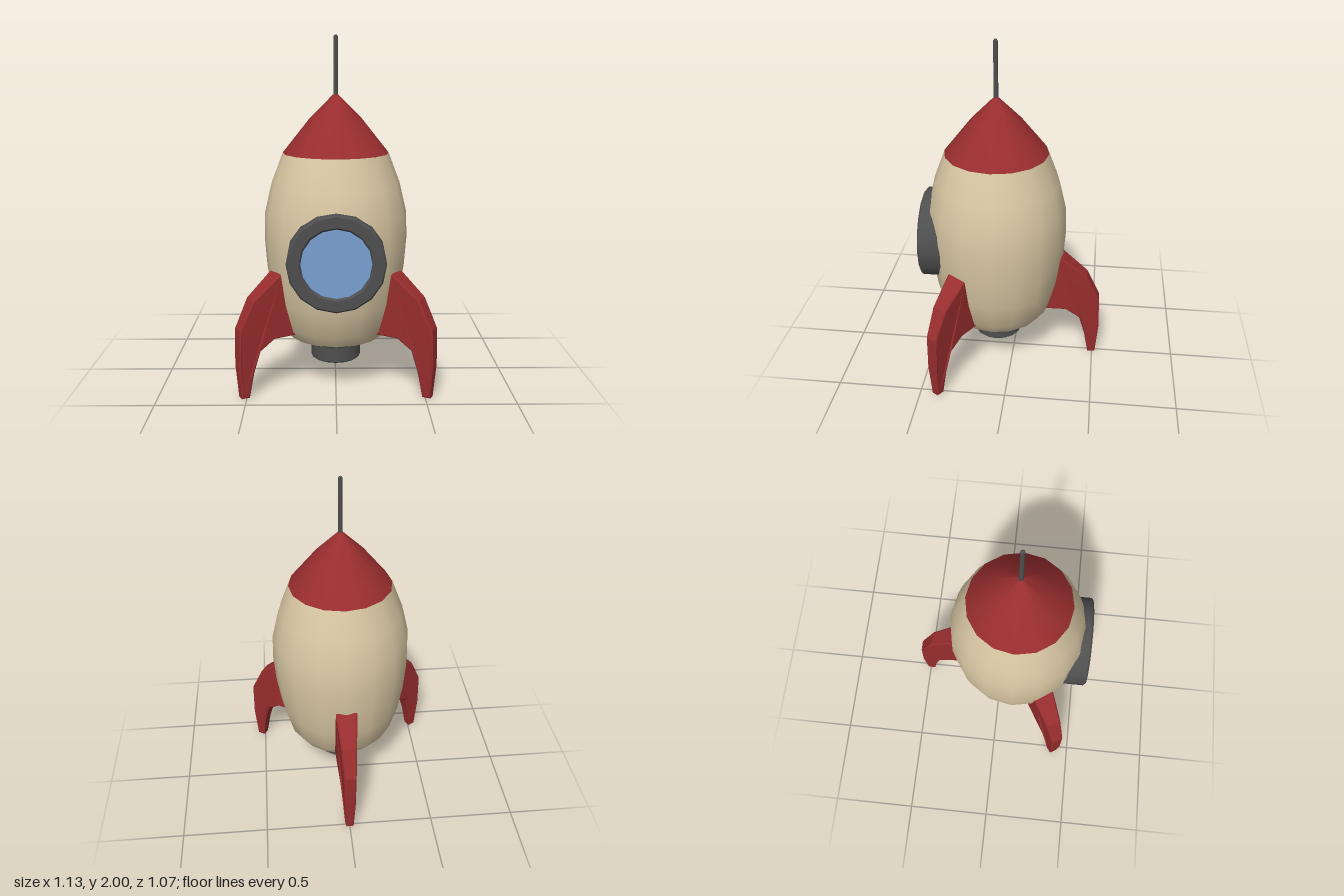
import * as THREE from 'three';
import { toCreasedNormals } from 'three/addons/utils/BufferGeometryUtils.js';

const SIDES = 16;
const material = (name, color) => {
  const m = new THREE.MeshStandardMaterial({ color });
  m.name = name;
  return m;
};

// Turned part from [radius, height] pairs listed bottom to top
function turned(points, sides = SIDES) {
  const geo = new THREE.LatheGeometry(points.map(([r, y]) => new THREE.Vector2(r, y)), sides);
  return toCreasedNormals(geo, 0.6);
}

// Curved leg fin: x is the distance from the rocket axis
function finGeometry() {
  const outline = [
    [0.26, 0.335], [0.425, 0.335], [0.51, 0.275], [0.547, 0.15], [0.572, 0.005], [0.618, 0.005],
    [0.634, 0.2], [0.628, 0.41], [0.548, 0.572], [0.39, 0.705], [0.32, 0.705],
  ];
  const shape = new THREE.Shape(outline.map(([x, y]) => new THREE.Vector2(x, y)));
  const geo = new THREE.ExtrudeGeometry(shape, {
    depth: 1.7, bevelEnabled: true, bevelSegments: 1,
    bevelThickness: 0.15, bevelSize: 0.007, bevelOffset: -0.007,
  });
  geo.translate(0, 0, -0.85);
  // Thinner outward and toward the foot
  const p = geo.attributes.position;
  for (let i = 0; i < p.count; i++) {
    const spread = 0.063 - Math.max(0, p.getX(i) - 0.4) * 0.12;
    const foot = Math.min(1, 0.62 + p.getY(i) * 1.5);
    p.setZ(i, p.getZ(i) * spread * foot);
  }
  geo.computeVertexNormals();
  return toCreasedNormals(geo, 0.3);
}

export function createModel() {
  const cream = material('cream', 0xdac8a4);
  const red = material('red', 0x982d2e);
  const grey = material('dark grey', 0x4f4f4f);
  const blue = material('glass blue', 0x789fd2);

  const rocket = new THREE.Group();
  rocket.name = 'rocket';
  rocket.position.z = 0.1;
  const add = (name, geo, mat) => {
    const mesh = new THREE.Mesh(geo, mat);
    mesh.name = name;
    rocket.add(mesh);
    return mesh;
  };

  // Hull, nose and engine
  add('hull', turned([
    [0.275, 0.29], [0.325, 0.36], [0.37, 0.52], [0.397, 0.69], [0.41, 0.86],
    [0.405, 1.01], [0.365, 1.18], [0.3, 1.35],
  ]), cream);
  add('noseCone', turned([[0.3, 1.35], [0.145, 1.545], [0.015, 1.675], [0, 1.685]]), red);
  add('engineNozzle', turned([
    [0, 0.14], [0.137, 0.14], [0.145, 0.148], [0.145, 0.235], [0.275, 0.29],
  ]), grey);
  add('antenna', turned([[0.013, 1.65], [0.013, 1.992], [0.007, 2], [0, 2]], 8), grey);

  // Porthole: turned around the z axis, set into the front of the hull
  const frame = add('portholeFrame', turned([
    [0.268, 0.2], [0.268, 0.425], [0.258, 0.435], [0.2, 0.435], [0.19, 0.425], [0.19, 0.3],
  ]), grey);
  const glass = add('portholeGlass', new THREE.CircleGeometry(0.192, SIDES), blue);
  frame.rotation.x = Math.PI / 2;
  frame.position.y = glass.position.y = 0.81;
  glass.position.z = 0.42;

  // Three fins: one at the back, two toward the front
  const fin = finGeometry();
  [['backFin', 90], ['leftFin', -30], ['rightFin', 210]].forEach(([name, degrees]) => {
    add(name, fin, red).rotation.y = THREE.MathUtils.degToRad(degrees);
  });

  const model = new THREE.Group();
  model.add(rocket);
  return model;
}
